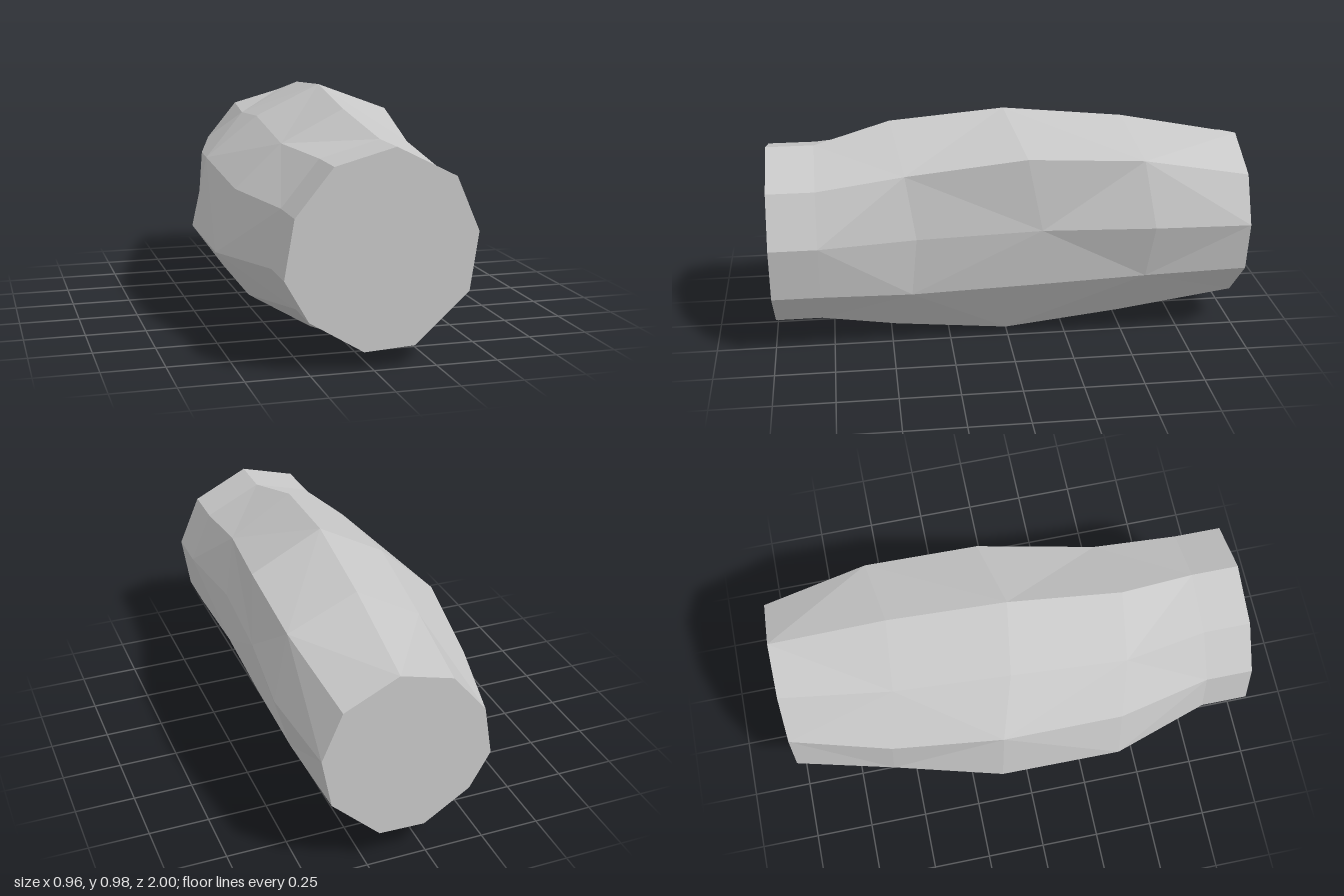
import * as THREE from 'three';

// Cross-sections from front to back: z, how far the sides lag behind, and ten
// x, y points running clockwise from the top.
const frontLoop = [0.08, 0.85, 0.32, 0.73, 0.413, 0.515, 0.378, 0.285, 0.162, 0.087,
  -0.04, 0.075, -0.255, 0.205, -0.35, 0.37, -0.31, 0.6, -0.16, 0.785];
const shoulderLoop = [0.03, 0.93, 0.32, 0.78, 0.37, 0.52, 0.36, 0.27, 0.125, 0.022,
  -0.105, 0.033, -0.35, 0.17, -0.48, 0.35, -0.4, 0.61, -0.22, 0.795];
const middleLoop = [0.063, 0.98, 0.39, 0.857, 0.418, 0.555, 0.39, 0.3, 0.172, 0,
  -0.085, 0.018, -0.35, 0.175, -0.478, 0.355, -0.415, 0.66, -0.205, 0.845];
const rearLoop = [0.1, 0.94, 0.407, 0.837, 0.479, 0.567, 0.41, 0.327, 0.17, 0.055,
  -0.07, 0.06, -0.27, 0.21, -0.36, 0.38, -0.345, 0.61, -0.16, 0.8];
const backLoop = [0.13, 0.85, 0.355, 0.74, 0.44, 0.545, 0.4, 0.333, 0.2, 0.143,
  0.01, 0.137, -0.18, 0.26, -0.265, 0.41, -0.23, 0.62, -0.09, 0.79];
const sections = [
  [1, 0, frontLoop],
  [0.8, 0, frontLoop],
  [0.48, 0.09, shoulderLoop],
  [0, 0.13, middleLoop],
  [-0.5, 0.09, rearLoop],
  [-1, 0, backLoop],
];
// Share of the lag taken by each point around the loop
const lagShare = [0, 0.5, 0.95, 0.7, 0, 0.1, 0.7, 1, 0.85, 0.3];
const SIDES = lagShare.length;

function createBodyGeometry() {
  const positions = [];
  const index = [];
  for (const [z, lag, loop] of sections) {
    for (let i = 0; i < SIDES; i++) {
      positions.push(loop[i * 2], loop[i * 2 + 1], z - lag * lagShare[i]);
    }
  }

  // Faceted sides, with diagonals alternating in a diamond pattern
  for (let r = 0; r < sections.length - 1; r++) {
    for (let i = 0; i < SIDES; i++) {
      const j = (i + 1) % SIDES;
      const a = r * SIDES + i, b = r * SIDES + j;
      const c = a + SIDES, d = b + SIDES;
      if ((r + i) % 2 === 1) index.push(a, b, d, a, d, c);
      else index.push(a, b, c, b, d, c);
    }
  }

  // Flat end caps
  const last = (sections.length - 1) * SIDES;
  for (let i = 1; i < SIDES - 1; i++) {
    index.push(0, i + 1, i);
    index.push(last, last + i, last + i + 1);
  }

  const geometry = new THREE.BufferGeometry();
  geometry.setAttribute('position', new THREE.Float32BufferAttribute(positions, 3));
  geometry.setIndex(index);
  const flat = geometry.toNonIndexed();
  flat.computeVertexNormals();
  return flat;
}

export function createModel() {
  const stone = new THREE.MeshStandardMaterial({ color: 0xc7c7c7, flatShading: true });
  stone.name = 'stone grey';

  const body = new THREE.Mesh(createBodyGeometry(), stone);
  body.name = 'stoneLog';

  const group = new THREE.Group();
  group.name = 'facetedStone';
  group.add(body);
  return group;
}
